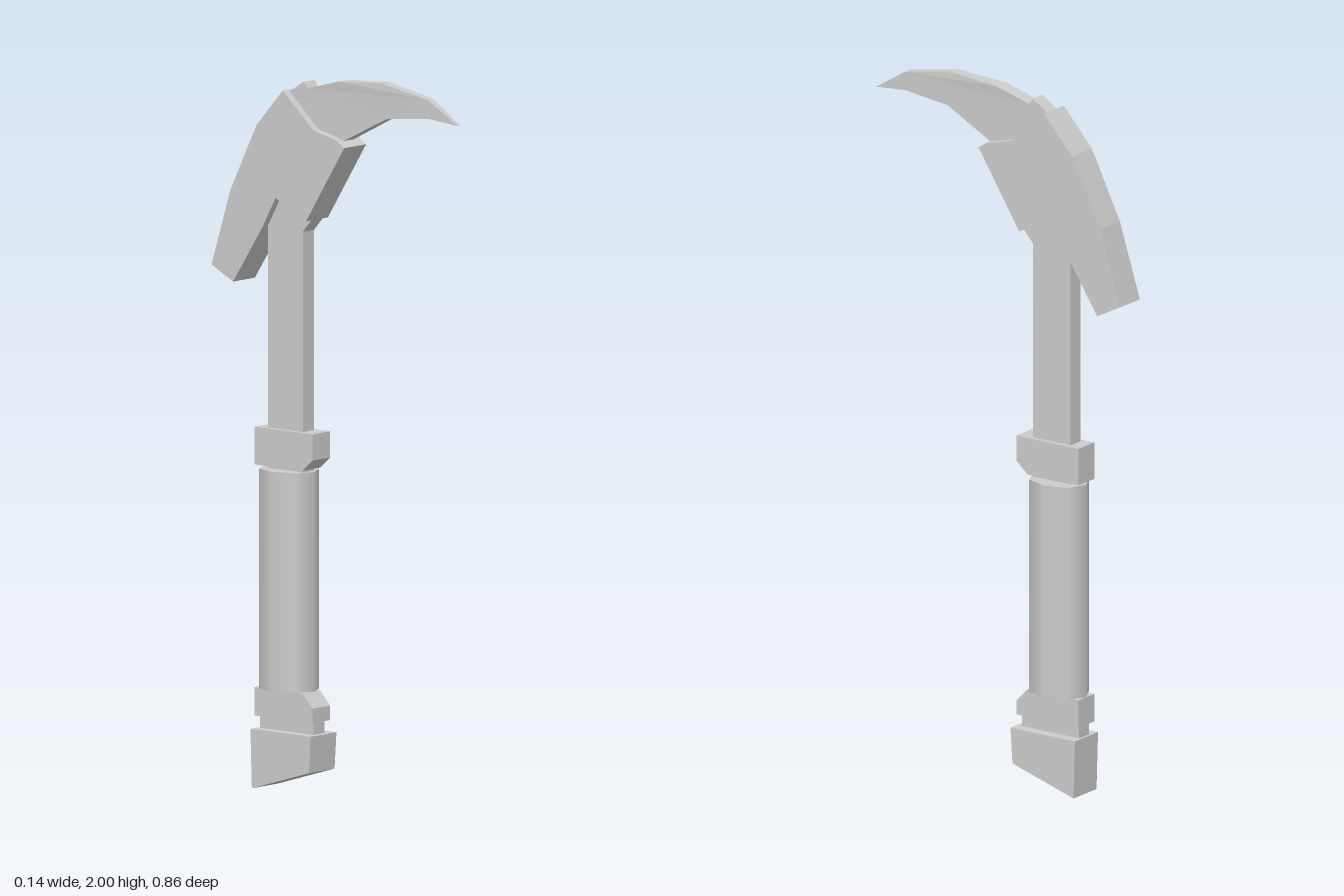
import * as THREE from 'three';

const material = new THREE.MeshStandardMaterial({ color: 0xcccccc, flatShading: true });
const smoothMaterial = new THREE.MeshStandardMaterial({ color: 0xcccccc });
const CENTRE = -0.005;

// Side profile of [z, y] points, given thickness across x
function slab(name, points, width) {
  const shape = new THREE.Shape(points.map(([z, y]) => new THREE.Vector2(z, y)));
  const geometry = new THREE.ExtrudeGeometry(shape, { depth: 1, bevelEnabled: false });
  geometry.translate(0, 0, -0.5);
  geometry.rotateY(-Math.PI / 2);
  geometry.scale(width, 1, 1);
  const mesh = new THREE.Mesh(geometry, material);
  mesh.name = name;
  mesh.position.x = CENTRE;
  return mesh;
}

// Narrow a slab of unit width along z using [z, width] stops
function taper(mesh, stops) {
  const p = mesh.geometry.attributes.position;
  for (let i = 0; i < p.count; i++) {
    const z = THREE.MathUtils.clamp(p.getZ(i), stops[0][0], stops[stops.length - 1][0]);
    const k = Math.max(1, stops.findIndex((s) => z <= s[0] + 1e-6));
    const [z0, w0] = stops[k - 1], [z1, w1] = stops[k];
    p.setX(i, p.getX(i) * THREE.MathUtils.mapLinear(z, z0, z1, w0, w1));
  }
  mesh.geometry.computeVertexNormals();
  return mesh;
}

export function createModel() {
  const group = new THREE.Group();
  group.name = 'iceAxe';

  // Curved pick with the stepped tang that sits in the head
  const pick = slab('pick', [
    [0.43, 1.907], [0.328, 1.918], [0.18, 1.902], [0.032, 1.828], [-0.03, 1.79],
    [-0.2, 1.85], [-0.164, 1.945], [-0.114, 1.977], [-0.1, 1.96],
    [0.01, 1.99], [0.164, 2.0], [0.328, 1.97],
  ], 1);
  group.add(taper(pick, [[-0.2, 0.047], [0.01, 0.045], [0.17, 0.032], [0.33, 0.025], [0.43, 0.012]]));

  // Head block sweeping back and down into the hammer end
  group.add(slab('head', [
    [0.053, 1.812], [-0.085, 1.595], [-0.196, 1.648], [-0.243, 1.563], [-0.35, 1.4],
    [-0.428, 1.44], [-0.36, 1.653], [-0.265, 1.844], [-0.17, 1.95],
    [-0.058, 1.85], [0.026, 1.83],
  ], 0.092));

  // Shaft, flared where it meets the head
  group.add(slab('shaft', [
    [-0.116, 0.15], [-0.243, 0.15], [-0.243, 1.6], [-0.2, 1.75],
    [-0.07, 1.65], [-0.085, 1.595], [-0.116, 1.56],
  ], 0.047));

  // Collars above and below the grip
  group.add(slab('upperCollar', [
    [-0.069, 1.003], [-0.069, 0.93], [-0.106, 0.898], [-0.28, 0.898], [-0.28, 1.003],
  ], 0.074));
  group.add(slab('lowerCollar', [
    [-0.106, 0.279], [-0.069, 0.24], [-0.069, 0.2], [-0.28, 0.2], [-0.28, 0.279],
  ], 0.074));
  group.add(slab('lowerNeck', [
    [-0.078, 0.21], [-0.078, 0.155], [-0.272, 0.155], [-0.272, 0.21],
  ], 0.047));

  // Oval grip
  const gripGeometry = new THREE.CylinderGeometry(1, 1, 0.611, 8);
  gripGeometry.scale(0.072, 1, 0.091);
  const grip = new THREE.Mesh(gripGeometry, smoothMaterial);
  grip.name = 'grip';
  grip.position.set(-0.002, 0.585, -0.189);
  group.add(grip);

  // Slanted pommel
  group.add(slab('pommel', [
    [-0.061, 0.165], [-0.068, 0.063], [-0.275, 0], [-0.28, 0.165],
  ], 0.108));

  return group;
}
